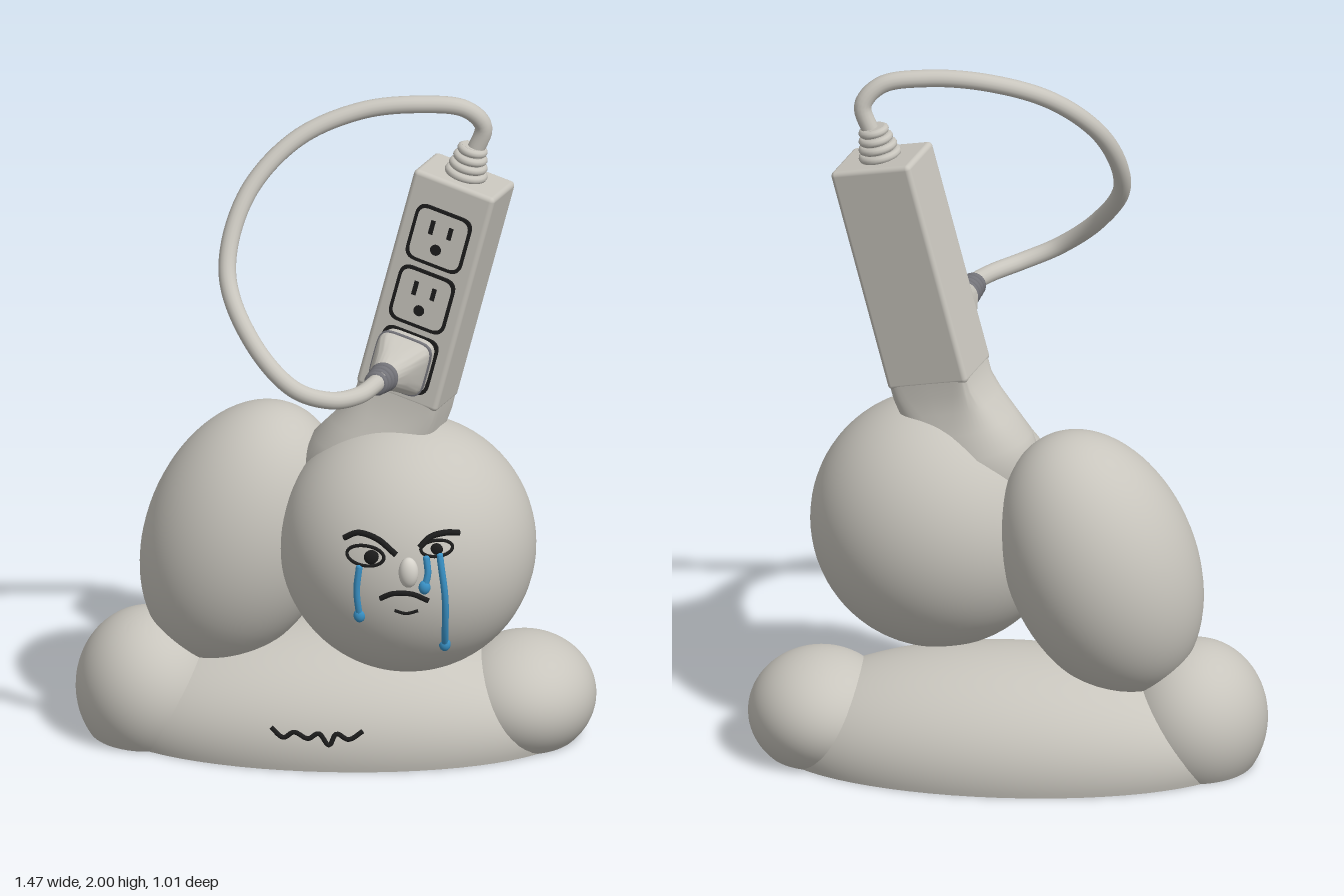
import * as THREE from 'three';
import { toCreasedNormals } from 'three/addons/utils/BufferGeometryUtils.js';
import { RoundedBoxGeometry } from 'three/addons/geometries/RoundedBoxGeometry.js';

const material = (name, color) => new THREE.MeshStandardMaterial({ name, color });
const V = (x, y, z) => new THREE.Vector3(x, y, z);

// Superellipse cross-sections stacked upwards: [y, centreX, centreZ, halfX, halfZ, exponent]
function loft(sections, n = 48) {
  const pos = [], idx = [];
  const bend = (v, e) => Math.sign(v) * Math.abs(v) ** (2 / e);
  sections.forEach(([y, cx, cz, hx, hz, e], i) => {
    for (let j = 0; j < n; j++) {
      const a = (j / n) * Math.PI * 2;
      pos.push(cx + hx * bend(Math.cos(a), e), y, cz + hz * bend(Math.sin(a), e));
      if (i === sections.length - 1) continue;
      const p = i * n + j, q = i * n + (j + 1) % n;
      idx.push(p, p + n, q, q, p + n, q + n);
    }
  });
  const g = new THREE.BufferGeometry();
  g.setAttribute('position', new THREE.Float32BufferAttribute(pos, 3));
  g.setIndex(idx);
  return toCreasedNormals(g, 0.6);
}

// Ellipsoid sliced flat at y = 0
function cutEllipsoid({ c, r }) {
  const start = -Math.asin(c.y / r.y), pts = [new THREE.Vector2(0, 0)];
  for (let i = 0; i <= 32; i++) {
    const a = start + (Math.PI / 2 - start) * i / 32;
    pts.push(new THREE.Vector2(i === 32 ? 0 : Math.cos(a), c.y + r.y * Math.sin(a)));
  }
  const g = new THREE.LatheGeometry(pts, 64);
  g.scale(r.x, 1, r.z);
  g.translate(c.x, 0, c.z);
  return toCreasedNormals(g, 0.6);
}

// Point on the front of an ellipsoid
function onFront({ c, r }, x, y) {
  const k = 1 - ((x - c.x) / r.x) ** 2 - ((y - c.y) / r.y) ** 2;
  return V(x, y, c.z + r.z * Math.sqrt(Math.max(k, 0)));
}

function roundedSquare(path, s, r) {
  path.moveTo(-s + r, -s);
  path.lineTo(s - r, -s).quadraticCurveTo(s, -s, s, -s + r);
  path.lineTo(s, s - r).quadraticCurveTo(s, s, s - r, s);
  path.lineTo(-s + r, s).quadraticCurveTo(-s, s, -s, s - r);
  path.lineTo(-s, -s + r).quadraticCurveTo(-s, -s, -s + r, -s);
  return path;
}

export function createModel() {
  const model = new THREE.Group();
  const body = material('warm grey', 0xc8c5bd);
  const pale = material('pale grey', 0xd6d3cb);
  const black = material('black', 0x1c1c1c);
  const dark = material('dark grey', 0x74747a);
  const blue = material('tear blue', 0x3a93c8);
  const add = (name, geometry, mat, parent = model) => {
    const m = new THREE.Mesh(geometry, mat);
    m.name = name;
    parent.add(m);
    return m;
  };
  const ball = (name, c, r, mat, w = 64, h = 40) => {
    const m = add(name, new THREE.SphereGeometry(1, w, h), mat);
    m.position.copy(c);
    m.scale.copy(r);
    return m;
  };

  // Rounded masses
  const head = { c: V(0.213, 0.643, -0.003), r: V(0.363, 0.37, 0.338) };
  const base = { c: V(0, 0.05, -0.178), r: V(0.67, 0.27, 0.335) };
  ball('head', head.c, head.r, body);
  ball('hump', V(-0.265, 0.597, -0.18), V(0.271, 0.4, 0.273), body).rotation.z = -0.36;
  add('base', cutEllipsoid(base), body);
  add('rightFoot', cutEllipsoid({ c: V(-0.53, 0.13, -0.162), r: V(0.205, 0.225, 0.233) }), body);
  add('leftFoot', cutEllipsoid({ c: V(0.53, 0.12, -0.182), r: V(0.205, 0.175, 0.233) }), body);

  // Lines drawn over the curved surfaces
  const line = (name, on, pts, radius, mat, closed = false) => {
    const flat = new THREE.CatmullRomCurve3(pts.map(([x, y]) => V(x, y, 0)), closed);
    const fine = flat.getPoints(40).map(p => onFront(on, p.x, p.y));
    if (closed) fine.pop();
    const curve = new THREE.CatmullRomCurve3(fine, closed);
    return add(name, new THREE.TubeGeometry(curve, 60, radius, 8, closed), mat);
  };
  line('rightBrow', head, [[0.05, 0.765], [0.09, 0.785], [0.145, 0.775], [0.2, 0.735]], 0.009, black);
  line('leftBrow', head, [[0.265, 0.755], [0.295, 0.782], [0.335, 0.79], [0.375, 0.785]], 0.009, black);
  line('mouth', head, [[0.155, 0.603], [0.19, 0.62], [0.245, 0.62], [0.29, 0.598]], 0.008, black);
  line('chinLine', head, [[0.195, 0.567], [0.228, 0.558], [0.262, 0.567]], 0.005, black);
  line('baseSquiggle', base, [[-0.165, 0.125], [-0.13, 0.1], [-0.1, 0.116], [-0.06, 0.1], [-0.03, 0.115],
    [0, 0.083], [0.02, 0.115], [0.055, 0.1], [0.095, 0.123]], 0.007, black);

  // Eyes
  for (const [side, x, y, rx, ry, px, pr] of [
    ['right', 0.112, 0.725, 0.053, 0.028, 0.13, 0.022], ['left', 0.313, 0.75, 0.044, 0.022, 0.313, 0.018]]) {
    const ring = [];
    for (let i = 0; i < 14; i++) {
      const a = i / 14 * Math.PI * 2;
      ring.push([x + rx * Math.cos(a), y + ry * Math.sin(a)]);
    }
    line(side + 'EyeOutline', head, ring, 0.005, black, true);
    ball(side + 'Pupil', onFront(head, px, y - 0.002), V(pr, pr, 0.009), black, 20, 12);
  }
  ball('nose', onFront(head, 0.235, 0.685), V(0.028, 0.045, 0.025), pale, 28, 18);

  // Tears, each ending in a drop
  for (const pts of [
    [[0.095, 0.69], [0.088, 0.62], [0.095, 0.54]],
    [[0.285, 0.725], [0.289, 0.68], [0.28, 0.64]],
    [[0.322, 0.73], [0.337, 0.6], [0.333, 0.44]]]) {
    line('tear', head, pts, 0.01, blue);
    const [x, y] = pts[2];
    ball('tearDrop', onFront(head, x, y), V(0.017, 0.021, 0.014), blue, 16, 12);
    const [sx, sy] = pts[0];
    ball('tearTop', onFront(head, sx, sy), V(0.01, 0.01, 0.01), blue, 12, 8);
  }

  // Leaning power strip
  const strip = new THREE.Group();
  strip.name = 'powerStrip';
  strip.position.set(0.29, 1.42, -0.04);
  strip.rotation.set(0, -0.297, -0.25, 'ZYX');
  model.add(strip);
  add('stripBody', new RoundedBoxGeometry(0.25, 0.675, 0.185, 4, 0.014), body, strip);

  // Neck easing from the strip into the head and hump
  add('neck', loft([
    [-0.44, -0.05, -0.01, 0.001, 0.001, 2], [-0.425, -0.05, -0.01, 0.08, 0.06, 2],
    [-0.38, -0.05, -0.01, 0.148, 0.118, 2], [-0.3, -0.05, -0.01, 0.185, 0.15, 2],
    [-0.22, -0.045, -0.01, 0.18, 0.142, 2.2], [-0.15, -0.028, -0.005, 0.157, 0.12, 2.8],
    [-0.09, -0.012, 0, 0.138, 0.102, 4], [-0.04, 0, 0, 0.127, 0.094, 7], [0.005, 0, 0, 0.124, 0.092, 10]]),
  body, strip).position.y = -0.33;

  // Outlets: outline, plate, slots and earth hole
  const frame = roundedSquare(new THREE.Shape(), 0.086, 0.035);
  frame.holes.push(roundedSquare(new THREE.Path(), 0.077, 0.03));
  const plate = roundedSquare(new THREE.Shape(), 0.077, 0.03);
  const flat = (shape, depth) => new THREE.ExtrudeGeometry(shape, { depth, bevelEnabled: false, curveSegments: 8 });
  [0.167, -0.024, -0.215].forEach((y, i) => {
    const outlet = new THREE.Group();
    outlet.name = 'outlet';
    outlet.position.set(0, y, 0.092);
    strip.add(outlet);
    add('outletOutline', flat(frame, 0.008), black, outlet);
    add('outletPlate', flat(plate, 0.005), body, outlet);
    if (i === 2) return;
    for (const [x, h] of [[-0.028, 0.042], [0.028, 0.036]])
      add('slot', new THREE.BoxGeometry(0.013, h, 0.006), black, outlet).position.set(x, 0.026, 0.005);
    const hole = add('earthHole', new THREE.CylinderGeometry(0.016, 0.016, 0.006, 20), black, outlet);
    hole.rotation.x = Math.PI / 2;
    hole.position.set(0, -0.035, 0.005);
  });

  // Plug in the lowest outlet, with a ribbed sleeve
  const plug = new THREE.Group();
  plug.name = 'plug';
  plug.position.set(0, -0.212, 0.095);
  plug.rotation.x = Math.PI / 2;
  strip.add(plug);
  add('plugBody', loft([[0, 0, 0, 0.078, 0.078, 5], [0.05, 0, 0, 0.08, 0.08, 5], [0.065, 0, 0, 0.076, 0.076, 4.5],
    [0.12, 0, 0, 0.057, 0.057, 3], [0.175, 0, 0, 0.041, 0.041, 2], [0.176, 0, 0, 0.001, 0.001, 2]]), body, plug);
  add('plugBand', loft([[0.038, 0, 0, 0.078, 0.078, 5], [0.039, 0, 0, 0.083, 0.083, 5],
    [0.05, 0, 0, 0.083, 0.083, 5], [0.051, 0, 0, 0.078, 0.078, 5]]), dark, plug);
  const ribs = (parent, mat, start, step, count, r0, r1) => {
    for (let i = 0; i < count; i++) {
      const r = r0 + (r1 - r0) * i / (count - 1);
      const rib = add('strainRib', new THREE.TorusGeometry(r - step / 2, step / 2, 10, 32), mat, parent);
      rib.rotation.x = Math.PI / 2;
      rib.position.y = start + step * (i + 0.5);
    }
    add('strainCore', new THREE.CylinderGeometry(r1 - step / 2, r0 - step / 2, step * count, 32), mat, parent)
      .position.y = start + step * count / 2;
  };
  ribs(plug, dark, 0.172, 0.021, 4, 0.043, 0.036);
  ribs(strip, body, 0.335, 0.024, 4, 0.062, 0.044);

  // Cord looping from the strip's top back to the plug
  const path = new THREE.CatmullRomCurve3([
    V(0.15, 1.245, 0.27), V(0.135, 1.243, 0.31), V(0.095, 1.24, 0.385), V(0.02, 1.25, 0.45), V(-0.08, 1.29, 0.472),
    V(-0.2, 1.4, 0.405), V(-0.28, 1.56, 0.28), V(-0.235, 1.75, 0.165), V(-0.1, 1.89, 0.075), V(0.08, 1.96, 0.02),
    V(0.25, 1.975, -0.002), V(0.375, 1.957, -0.02), V(0.425, 1.9, -0.035), V(0.4, 1.82, -0.04)]);
  add('cord', new THREE.TubeGeometry(path, 140, 0.025, 16), body);

  return model;
}
